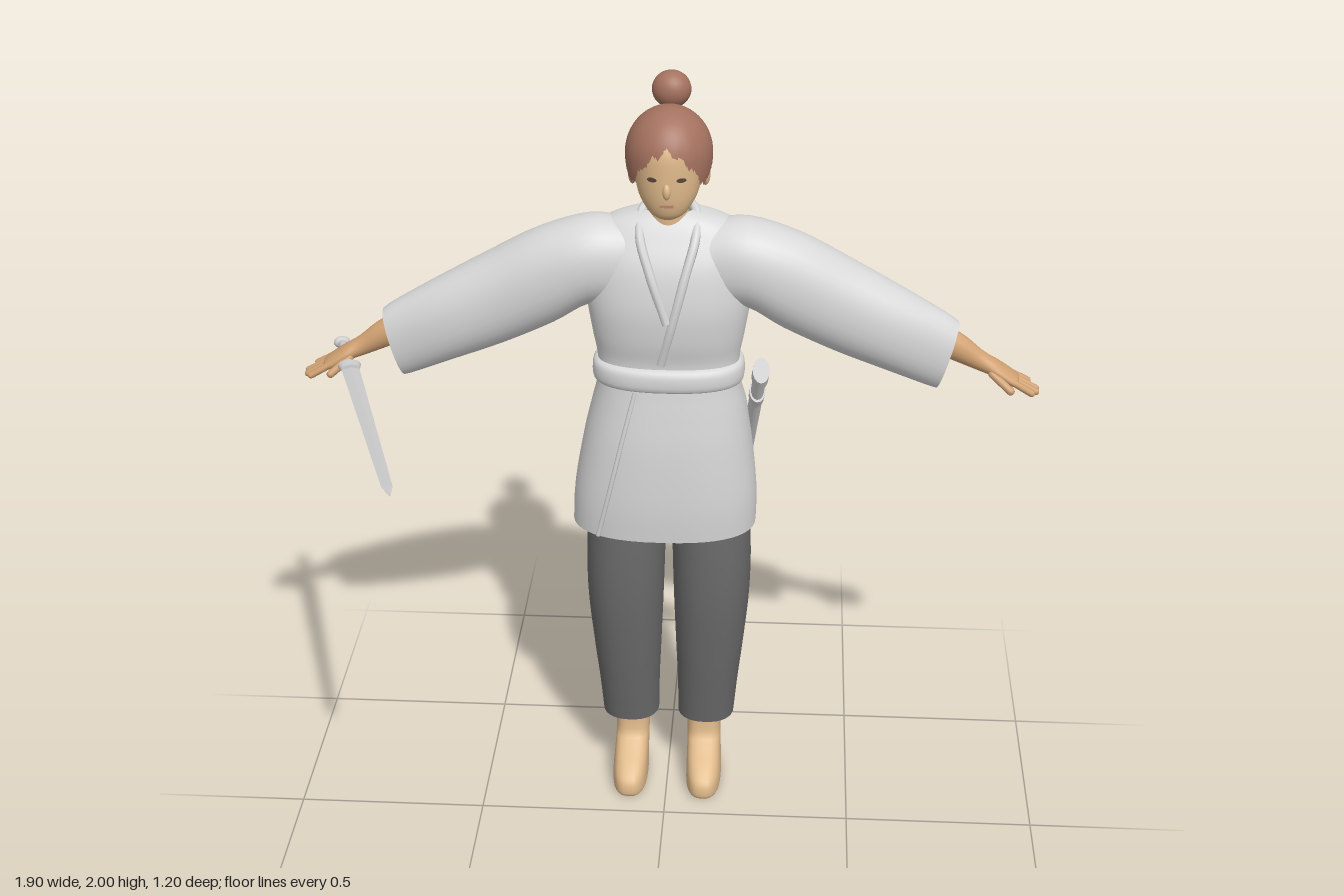
import * as THREE from 'three';
import { mergeVertices } from 'three/addons/utils/BufferGeometryUtils.js';

const V = (x, y, z) => new THREE.Vector3(x, y, z);

function paint(name, color, side = THREE.FrontSide) {
  const m = new THREE.MeshStandardMaterial({ color, side });
  m.name = name;
  return m;
}

// Smooth in-between rows of a list of equal-length number rows
function smoothRows(rows, sub) {
  const out = [], at = (i) => rows[Math.max(0, Math.min(rows.length - 1, i))];
  for (let i = 0; i < rows.length - 1; i++) {
    for (let k = 0; k < sub; k++) {
      const t = k / sub;
      out.push(rows[i].map((b, j) => {
        const a = at(i - 1)[j], c = at(i + 1)[j], d = at(i + 2)[j];
        return b + 0.5 * t * (c - a + t * (2 * a - 5 * b + 4 * c - d + t * (3 * (b - c) + d - a)));
      }));
    }
  }
  out.push(rows[rows.length - 1]);
  return out;
}

// Skin over rings; row = centre xyz, u xyz, v xyz, with u cross v pointing along the loft
function loft(rows, { seg = 32, sub = 4, power = 1, caps = true } = {}) {
  const pos = [], idx = [], rings = smoothRows(rows, sub);
  const bend = (n) => Math.sign(n) * Math.abs(n) ** power;
  for (const r of rings) {
    for (let i = 0; i < seg; i++) {
      const a = (i / seg) * Math.PI * 2, c = bend(Math.cos(a)), s = bend(Math.sin(a));
      for (let k = 0; k < 3; k++) pos.push(r[k] + r[3 + k] * c + r[6 + k] * s);
    }
  }
  for (let j = 0; j < rings.length - 1; j++) {
    for (let i = 0; i < seg; i++) {
      const a = j * seg + i, b = j * seg + ((i + 1) % seg);
      idx.push(a, b, a + seg, b, b + seg, a + seg);
    }
  }
  if (caps) {
    const last = (rings.length - 1) * seg, n = pos.length / 3;
    pos.push(...rings[0].slice(0, 3), ...rings[rings.length - 1].slice(0, 3));
    for (let i = 0; i < seg; i++) {
      const k = (i + 1) % seg;
      idx.push(n, k, i, n + 1, last + i, last + k);
    }
  }
  const g = new THREE.BufferGeometry();
  g.setAttribute('position', new THREE.Float32BufferAttribute(pos, 3));
  g.setIndex(idx);
  g.computeVertexNormals();
  return g;
}

// Upright loft; row = y, centre x, half width, front z, back z (bottom to top)
const column = (rows, opts) => loft(rows.map(([y, cx, rx, zf, zb]) =>
  [cx, y, (zf + zb) / 2, rx, 0, 0, 0, 0, (zb - zf) / 2]), opts);

// Sideways loft towards s; row = top x, top y, bottom x, bottom y, centre z, half depth
const limb = (rows, s, opts) => loft(rows.map(([tx, ty, bx, by, z, d]) =>
  [s * (tx + bx) / 2, (ty + by) / 2, z, s * (tx - bx) / 2, (ty - by) / 2, 0, 0, 0, s * d]), opts);

// Group whose y axis runs from a to b, with its x axis close to world x
function along(name, a, b) {
  const g = new THREE.Group(), y = b.clone().sub(a).normalize();
  const x = V(1, 0, 0).addScaledVector(y, -y.x).normalize();
  g.quaternion.setFromRotationMatrix(new THREE.Matrix4().makeBasis(x, y, x.clone().cross(y)));
  g.position.copy(a);
  g.name = name;
  return g;
}

export function createModel() {
  const model = new THREE.Group();
  const cloth = paint('robe white', 0xd8d8d8, THREE.DoubleSide);
  const trouser = paint('trouser grey', 0x696969, THREE.DoubleSide);
  const skin = paint('skin', 0xdfb98a);
  const handSkin = paint('hand skin', 0xd2a273);
  const hairPaint = paint('hair brown', 0xa5725f, THREE.DoubleSide);
  const steel = paint('steel', 0xcdcdcd);
  const dark = paint('eye dark', 0x5a4438);
  const lip = paint('lip', 0xb9826a);

  const add = (name, geo, mat, parent = model) => {
    const m = new THREE.Mesh(geo, mat);
    m.name = name;
    parent.add(m);
    return m;
  };
  const ball = (name, mat, p, sx, sy, sz, parent) => {
    const m = add(name, new THREE.SphereGeometry(1, 24, 16), mat, parent);
    m.position.copy(p);
    m.scale.set(sx, sy, sz);
    return m;
  };
  const cord = (name, pts, r, mat) => add(name, new THREE.TubeGeometry(
    new THREE.CatmullRomCurve3(pts.map((p) => V(...p))), 48, r, 8), mat);

  // Robe body, open at the hem
  add('robe', column([
    [0.795, -0.012, 0.243, -0.1, -0.41], [0.9, -0.009, 0.24, -0.093, -0.412], [1.05, -0.004, 0.219, -0.096, -0.4],
    [1.15, 0, 0.2, -0.106, -0.372], [1.22, 0, 0.184, -0.115, -0.33], [1.29, 0, 0.182, -0.12, -0.32],
    [1.36, 0, 0.194, -0.106, -0.333], [1.45, 0, 0.207, -0.1, -0.338], [1.55, 0, 0.21, -0.116, -0.336],
    [1.62, 0, 0.195, -0.15, -0.32], [1.66, 0, 0.14, -0.175, -0.297], [1.68, 0, 0.062, -0.195, -0.285],
  ], { seg: 48, power: 0.82, caps: false }), cloth);
  cord('collar', [[-0.015, 1.3, -0.122], [0.015, 1.42, -0.103], [0.045, 1.54, -0.116], [0.07, 1.635, -0.165],
    [0.06, 1.68, -0.25], [0, 1.685, -0.285], [-0.06, 1.68, -0.25], [-0.07, 1.635, -0.165],
    [-0.04, 1.54, -0.115], [0, 1.42, -0.104]], 0.012, cloth);
  cord('robeOverlap', [[-0.08, 1.22, -0.123], [-0.11, 1.1, -0.112], [-0.145, 0.95, -0.109],
    [-0.18, 0.8, -0.122]], 0.006, cloth);
  add('sash', column([
    [1.22, 0, 0.172, -0.125, -0.315], [1.232, 0, 0.193, -0.103, -0.338],
    [1.275, 0, 0.193, -0.103, -0.338], [1.288, 0, 0.172, -0.125, -0.315],
  ], { power: 0.82, seg: 48 }), cloth);

  for (const s of [1, -1]) {
    const side = s > 0 ? 'left' : 'right';
    // Wide sleeve, open at the cuff
    add(side + 'Sleeve', limb([
      [0.1, 1.65, 0.12, 1.43, -0.225, 0.09], [0.2, 1.66, 0.2, 1.43, -0.222, 0.102],
      [0.33, 1.62, 0.29, 1.375, -0.225, 0.1], [0.46, 1.548, 0.42, 1.31, -0.235, 0.095],
      [0.59, 1.475, 0.55, 1.258, -0.236, 0.082], [0.7, 1.41, 0.655, 1.215, -0.238, 0.062],
      [0.735, 1.385, 0.685, 1.205, -0.238, 0.056],
    ], s, { power: 0.92, caps: false }), cloth);

    // Forearm and palm
    const hand = new THREE.Group();
    hand.name = side + 'Hand';
    model.add(hand);
    add('forearm', limb([
      [0.58, 1.43, 0.55, 1.35, -0.237, 0.036], [0.73, 1.362, 0.705, 1.29, -0.237, 0.033],
      [0.8, 1.308, 0.785, 1.258, -0.236, 0.026], [0.84, 1.282, 0.83, 1.242, -0.235, 0.037],
      [0.88, 1.253, 0.872, 1.22, -0.236, 0.042], [0.895, 1.24, 0.89, 1.22, -0.236, 0.038],
    ], s, { seg: 20 }), handSkin, hand);
    // Fingers and thumb, each a tapered capsule
    const digit = (name, a, b, r) => {
      const g = along(name, a, b);
      hand.add(g);
      const len = a.distanceTo(b);
      add('segment', new THREE.CapsuleGeometry(r, len - r, 4, 8).translate(0, len / 2 - r / 2, 0), handSkin, g);
    };
    [0.93, 0.95, 0.948, 0.935].forEach((x, i) => digit('finger', V(s * 0.875, 1.238, -0.268 + i * 0.021),
      V(s * x, 1.232 - (x - 0.88) * 0.5, -0.276 + i * 0.026), 0.009));
    digit('thumb', V(s * 0.825, 1.257, -0.208), V(s * 0.88, 1.215, -0.18), 0.0105);

    // Trouser leg and bare foot
    add(side + 'TrouserLeg', column([
      [0.19, s * 0.104, 0.077, -0.165, -0.32], [0.3, s * 0.108, 0.083, -0.15, -0.335],
      [0.42, s * 0.112, 0.092, -0.135, -0.345], [0.6, s * 0.116, 0.103, -0.12, -0.357],
      [0.8, s * 0.112, 0.104, -0.125, -0.36], [1.1, s * 0.095, 0.09, -0.15, -0.33],
    ], { power: 0.88, caps: false }), trouser);
    add(side + 'Foot', column([
      [0, s * 0.102, 0.044, -0.068, -0.298], [0.012, s * 0.102, 0.048, -0.06, -0.302],
      [0.045, s * 0.102, 0.048, -0.066, -0.302], [0.075, s * 0.101, 0.047, -0.1, -0.3],
      [0.11, s * 0.1, 0.046, -0.155, -0.298], [0.145, s * 0.099, 0.046, -0.186, -0.297],
      [0.26, s * 0.098, 0.048, -0.19, -0.3],
    ], { power: 0.75 }), skin);

    // Ear and eye
    ball(side + 'Ear', skin, V(s * 0.09, 1.775, -0.225), 0.012, 0.03, 0.02);
    const eye = add(side + 'Eye', new THREE.CircleGeometry(0.013, 16), dark);
    eye.scale.y = 0.45;
    eye.position.set(s * 0.036, 1.795, -0.116);
    eye.rotation.y = s * 0.38;
  }

  // Neck, head and face
  add('neck', column([[1.6, 0, 0.058, -0.17, -0.275], [1.66, 0, 0.05, -0.172, -0.272],
    [1.76, 0, 0.05, -0.168, -0.275]]), skin);
  add('head', column([
    [1.684, 0, 0.022, -0.138, -0.175], [1.7, 0, 0.046, -0.124, -0.2], [1.74, 0, 0.073, -0.114, -0.26],
    [1.8, 0, 0.086, -0.112, -0.3], [1.86, 0, 0.088, -0.118, -0.31], [1.91, 0, 0.066, -0.15, -0.285],
  ]), skin);
  ball('nose', skin, V(0, 1.765, -0.113), 0.01, 0.02, 0.012);
  add('mouth', new THREE.BoxGeometry(0.034, 0.006, 0.008), lip).position.set(0, 1.728, -0.115);

  // Hair cap: a sphere pulled down to a hairline that varies around the head
  const hair = new THREE.SphereGeometry(1, 96, 24), p = hair.attributes.position, uv = hair.attributes.uv;
  const line = smoothRows([[1.865], [1.825], [1.765], [1.8], [1.765], [1.735], [1.72]], 10);
  for (let i = 0; i < p.count; i++) {
    const phi = Math.floor(uv.getX(i) * 96 + 0.5) / 96 * Math.PI * 2;
    const c = Math.sin(phi), away = Math.acos(Math.max(-1, Math.min(1, c)));
    let low = line[Math.round((away / Math.PI) * 60)][0];
    if (away < 1) low += 0.008 * Math.cos(away * 18);
    const t = (1 - uv.getY(i)) * Math.acos((low - 1.83) / 0.116);
    let r = Math.sin(t);
    if (t > Math.PI / 2) r += (1 - r) * 0.75 * (1 + c) / 2;
    p.setXYZ(i, -Math.cos(phi) * r * 0.108, 1.83 + Math.cos(t) * 0.116, -0.221 + c * r * 0.117);
  }
  hair.deleteAttribute('uv');
  hair.deleteAttribute('normal');
  const hairCap = mergeVertices(hair, 1e-5);
  hairCap.computeVertexNormals();
  add('hair', hairCap, hairPaint);
  ball('hairBun', hairPaint, V(0, 1.953, -0.331), 0.049, 0.047, 0.044);

  // Sword held across the right palm
  const hilt = V(-0.873, 1.238, -0.35), tip = V(-0.583, 1.297, 0.597);
  const sword = along('sword', hilt, tip), len = hilt.distanceTo(tip);
  model.add(sword);
  const bladeRow = (y, w, d) => [0, y, 0, w, 0, 0, 0, 0, -d];
  add('blade', loft([bladeRow(0.19, 0.023, 0.006), bladeRow(len - 0.05, 0.013, 0.004), bladeRow(len, 0.001, 0.001)],
    { seg: 4, sub: 1 }).toNonIndexed(), steel, sword).geometry.computeVertexNormals();
  add('grip', new THREE.CylinderGeometry(0.012, 0.011, 0.2, 12).translate(0, 0.1, 0), steel, sword);
  add('guard', new THREE.CylinderGeometry(0.024, 0.03, 0.03, 16).scale(1, 1, 0.55).translate(0, 0.192, 0), steel, sword);
  ball('pommel', steel, V(0, 0.008, 0), 0.022, 0.014, 0.016, sword);

  // Scabbard hung from the left hip
  const mouth = V(0.238, 1.265, -0.178), end = V(0.158, 0.585, -0.578);
  const scabbard = along('scabbard', mouth, end), sl = mouth.distanceTo(end);
  model.add(scabbard);
  const sheath = (name, r0, r1, y0, y1) => add(name,
    new THREE.CylinderGeometry(r1, r0, y1 - y0, 16).scale(0.55, 1, 1).translate(0, (y0 + y1) / 2, 0), steel, scabbard);
  sheath('sheath', 0.031, 0.034, 0.02, sl);
  sheath('mouthRing', 0.04, 0.04, 0, 0.03);
  sheath('collarRing', 0.039, 0.036, 0.09, 0.12);

  return model;
}
